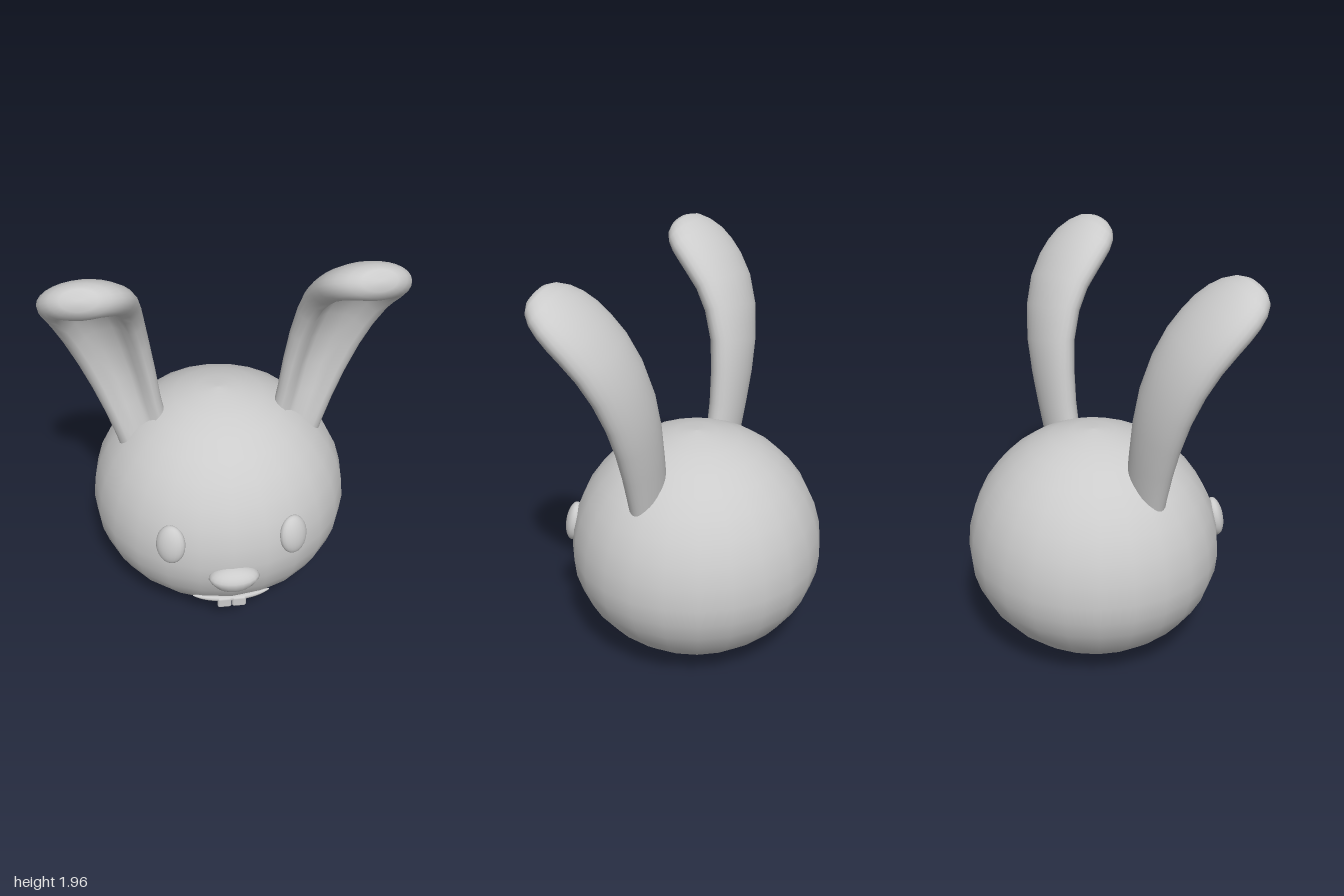
import * as THREE from 'three';
import { RoundedBoxGeometry } from 'three/addons/geometries/RoundedBoxGeometry.js';

const HEAD = { y: 0.53, z: -0.032, rx: 0.62, up: 0.61, down: 0.52, rz: 0.608 };
const grey = new THREE.MeshStandardMaterial({ color: 0xcccccc });

function add(parent, name, geometry) {
  const mesh = new THREE.Mesh(geometry, grey);
  mesh.name = name;
  parent.add(mesh);
  return mesh;
}

// depth of the front of the head at a given x and y
function faceZ(x, y) {
  const dy = (y - HEAD.y) / (y > HEAD.y ? HEAD.up : HEAD.down);
  return HEAD.z + HEAD.rz * Math.sqrt(Math.max(0, 1 - (x / HEAD.rx) ** 2 - dy * dy));
}

// sphere whose vertices are moved by a rule
function shapedSphere(w, h, rule) {
  const g = new THREE.SphereGeometry(1, w, h);
  const p = g.attributes.position;
  const v = new THREE.Vector3();
  for (let i = 0; i < p.count; i++) {
    rule(v.fromBufferAttribute(p, i));
    p.setXYZ(i, v.x, v.y, v.z);
  }
  // normals from the squashed shape, joined across the seam
  g.computeVertexNormals();
  const n = g.attributes.normal;
  for (let r = 0; r <= h; r++) {
    const a = r * (w + 1), b = a + w;
    v.set(n.getX(a) + n.getX(b), n.getY(a) + n.getY(b), n.getZ(a) + n.getZ(b)).normalize();
    n.setXYZ(a, v.x, v.y, v.z);
    n.setXYZ(b, v.x, v.y, v.z);
  }
  return g;
}

// ear: cupped cross-sections swept along a forward-curling centre line
function earGeometry(side) {
  const path = new THREE.CatmullRomCurve3([
    [0.33, 0.82, 0.025], [0.385, 1.02, 0.018], [0.44, 1.25, 0.015], [0.5, 1.48, 0.04],
    [0.55, 1.67, 0.115], [0.585, 1.81, 0.235], [0.605, 1.89, 0.335], [0.615, 1.935, 0.405],
  ].map((p) => new THREE.Vector3(...p)));
  // position along the ear, half width, half thickness, hollow
  const rows = [
    [0, 0.13, 0.07, 0.3], [0.12, 0.125, 0.075, 0.5], [0.24, 0.135, 0.08, 0.8], [0.36, 0.152, 0.085, 1],
    [0.48, 0.17, 0.088, 1], [0.6, 0.188, 0.092, 1], [0.7, 0.203, 0.094, 1], [0.78, 0.21, 0.096, 1],
    [0.84, 0.208, 0.096, 0.9], [0.89, 0.197, 0.093, 0.45], [0.935, 0.17, 0.085, 0.05],
    [0.97, 0.13, 0.07, 0], [0.99, 0.08, 0.046, 0], [1, 0, 0, 0],
  ];
  const N = 28, pos = [], idx = [];
  for (const [t, w, d, hollow] of rows) {
    const c = path.getPointAt(t), T = path.getTangentAt(t);
    const S = new THREE.Vector3(1, 0, 0).addScaledVector(T, -T.x).normalize();
    const F = new THREE.Vector3().crossVectors(S, T);
    for (let j = 0; j < N; j++) {
      const a = (j / N) * Math.PI * 2;
      const u = Math.cos(a);
      let v = Math.sin(a);
      if (v > 0) v -= hollow * 1.0 * (1 - THREE.MathUtils.smoothstep(Math.abs(u), 0.25, 0.72));
      const p = c.clone().addScaledVector(S, u * w).addScaledVector(F, v * d);
      pos.push(side * p.x, p.y, p.z);
    }
  }
  for (let i = 0; i < rows.length - 1; i++) {
    for (let j = 0; j < N; j++) {
      const a = i * N + j, b = i * N + (j + 1) % N, c = a + N, d = b + N;
      if (side > 0) idx.push(a, c, b, b, c, d);
      else idx.push(a, b, c, b, d, c);
    }
  }
  const g = new THREE.BufferGeometry();
  g.setAttribute('position', new THREE.Float32BufferAttribute(pos, 3));
  // the rows run along the tangent, so outward faces need the reverse order
  for (let i = 0; i < idx.length; i += 3) [idx[i + 1], idx[i + 2]] = [idx[i + 2], idx[i + 1]];
  g.setIndex(idx);
  g.computeVertexNormals();
  // the tip is one point, so its vertices share one normal
  const T = path.getTangentAt(1);
  for (let j = 0; j < N; j++) g.attributes.normal.setXYZ((rows.length - 1) * N + j, side * T.x, T.y, T.z);
  return earOutward(g, N);
}

// make sure the ear's first side face points away from its centre line
function earOutward(g, N) {
  const p = g.attributes.position, n = g.attributes.normal, k = 3 * N;
  const out = p.getX(k) - p.getX(k + N / 2);
  if (out * n.getX(k) < 0) {
    g.index.array.reverse();
    for (let i = 0; i < p.count - N; i++) n.setXYZ(i, -n.getX(i), -n.getY(i), -n.getZ(i));
  }
  return g;
}

export function createModel() {
  const model = new THREE.Group();
  model.name = 'rabbitHead';

  // egg-like head, fuller at the cheeks
  add(model, 'head', shapedSphere(24, 18, (v) => {
    v.set(v.x * HEAD.rx, HEAD.y + v.y * (v.y > 0 ? HEAD.up : HEAD.down), HEAD.z + v.z * HEAD.rz);
  }));

  for (const side of [1, -1]) {
    const label = side > 0 ? 'left' : 'right';
    add(model, label + 'Ear', earGeometry(side));

    // oval eye lying against the face
    const eye = add(model, label + 'Eye', new THREE.SphereGeometry(1, 20, 14));
    eye.scale.set(0.072, 0.1, 0.042);
    eye.position.set(side * 0.286, 0.645, 0.492);
    eye.rotation.set(-0.18, side * 0.5, 0, 'YXZ');

    // front tooth
    const tooth = add(model, label + 'Tooth', new RoundedBoxGeometry(0.068, 0.06, 0.024, 3, 0.011));
    tooth.position.set(side * 0.035, 0.238, 0.496);
  }

  // nose, tapering to a soft point below
  add(model, 'nose', shapedSphere(20, 14, (v) => {
    const low = Math.max(0, -v.y);
    const taper = 1 - 0.35 * low * (1 - low);
    v.set(v.x * 0.12 * taper, 0.474 + v.y * (v.y > 0 ? 0.061 : 0.092), 0.568 + v.z * 0.07 - low * 0.02);
  }));

  // smile line wrapped on the face, thinning to its ends
  const points = [];
  for (let i = -6; i <= 6; i++) {
    const x = (i / 6) * 0.185, y = 0.256 + 0.02 * (i / 6) ** 2;
    points.push(new THREE.Vector3(x, y, faceZ(x, y) + 0.006));
  }
  const curve = new THREE.CatmullRomCurve3(points);
  const lip = new THREE.TubeGeometry(curve, 24, 0.015, 8);
  const p = lip.attributes.position;
  for (let i = 0; i < p.count; i++) {
    const t = Math.floor(i / 9) / 24;
    const c = curve.getPointAt(t);
    const v = new THREE.Vector3().fromBufferAttribute(p, i);
    v.lerp(c, Math.pow(Math.abs(2 * t - 1), 4) * 0.8);
    p.setXYZ(i, v.x, v.y, v.z);
  }
  add(model, 'mouth', lip);

  return model;
}
